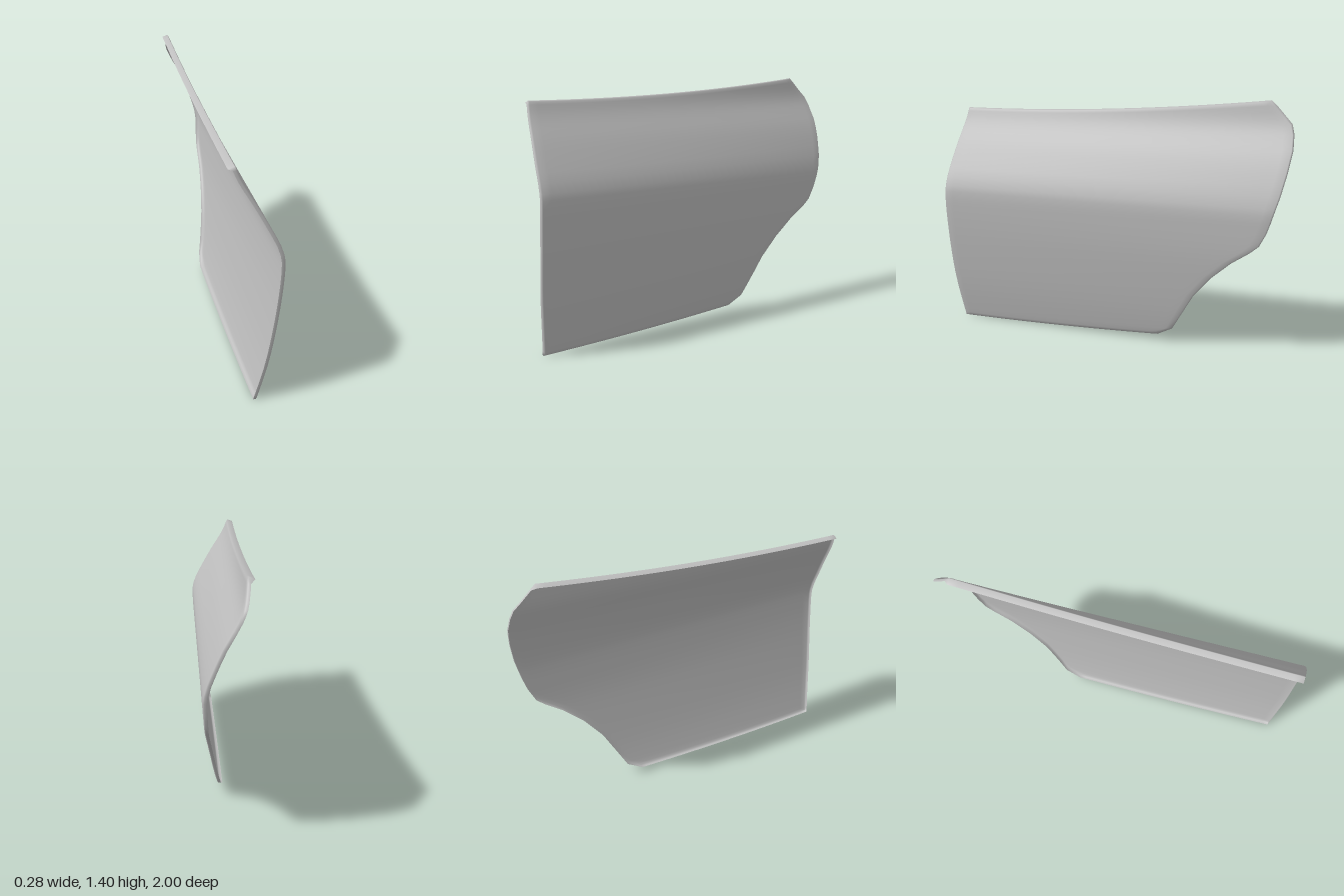
import * as THREE from 'three';

const panelGrey = new THREE.MeshStandardMaterial({ color: 0xc0c0c0, side: THREE.DoubleSide });
panelGrey.name = 'panelGrey';

// Smooth curve through [position, value] pairs
function curve(pairs) {
  const c = new THREE.CubicInterpolant(pairs.map(p => p[0]), pairs.map(p => p[1]), 1, [0]);
  return t => c.evaluate(t)[0];
}

// Straight segments through [position, value] pairs
function polyline(pairs) {
  const c = new THREE.LinearInterpolant(pairs.map(p => p[0]), pairs.map(p => p[1]), 1, [0]);
  return t => c.evaluate(t)[0];
}

const CREASE = 0.82;
// Sideways bulge of the skin by height, with a firm crease line
const bulge = curve([[0, 0.03], [0.2, 0.072], [0.4, 0.102], [0.6, 0.125], [0.76, 0.136], [0.82, 0.136],
  [0.88, 0.122], [1, 0.063], [1.1, 0.008], [1.2, -0.052], [1.25, -0.077], [1.3, -0.093], [1.4, -0.105]]);
// Sideways shift of the rear end against the front end
const taper = curve([[0, -0.04], [0.5, -0.04], [0.85, -0.04], [1, -0.017], [1.1, -0.002], [1.2, 0.005], [1.4, 0]]);
// Depth of the front and rear edges by height
const frontEdge = curve([[0.005, 0.96], [0.3, 0.99], [0.6, 1], [0.8, 1], [0.97, 0.99], [1.295, 0.945]]);
const rearEdge = polyline([[0.04, -0.29], [0.09, -0.38], [0.32, -0.51], [0.44, -0.61], [0.54, -0.72],
  [0.61, -0.82], [0.65, -0.865], [0.72, -0.9], [0.78, -0.92], [0.92, -0.96], [1.04, -0.985],
  [1.15, -1], [1.23, -0.995], [1.28, -0.98], [1.375, -0.89], [1.4, -0.865]]);
// Row heights at the rear edge
const rows = [0.04, 0.06, 0.09, 0.16, 0.24, 0.32, 0.38, 0.44, 0.49, 0.54, 0.575, 0.61, 0.65, 0.685, 0.72, 0.75, 0.78,
  0.82, 0.86, 0.92, 0.98, 1.04, 1.1, 1.15, 1.19, 1.23, 1.255, 1.28, 1.31, 1.345, 1.375, 1.4];
const COLS = 36;

function panelPoint(rowY, u) {
  const yFront = rowY < CREASE
    ? THREE.MathUtils.mapLinear(rowY, 0.04, CREASE, 0.004, CREASE)
    : THREE.MathUtils.mapLinear(rowY, CREASE, 1.4, CREASE, 1.295);
  const y = THREE.MathUtils.lerp(yFront, rowY, u * u);
  const z = THREE.MathUtils.lerp(frontEdge(yFront), rearEdge(rowY), u);
  return new THREE.Vector3(bulge(y) + taper(y) * u, y, z);
}

function panelGeometry() {
  const points = [], index = [], w = COLS + 1, top = rows.length - 1;
  const quad = (a, b, c, d) => index.push(a, b, c, a, c, d);

  // Curved skin
  rows.forEach((y, i) => {
    for (let j = 0; j <= COLS; j++) points.push(panelPoint(y, j / COLS));
    if (i < top) for (let j = 0; j < COLS; j++) {
      const a = i * w + j;
      quad(a, a + 1, a + w + 1, a + w);
    }
  });

  // Outline: bottom, rear, top, front
  const loop = [];
  for (let j = 0; j < COLS; j++) loop.push(j);
  for (let i = 0; i < top; i++) loop.push(i * w + COLS);
  for (let j = COLS; j > 0; j--) loop.push(top * w + j);
  for (let i = top; i > 0; i--) loop.push(i * w);

  // Rounded hem turned inwards, with a wider lip along the top
  const n = loop.length, base = points.length, edge = loop.map(k => points[k].clone());
  const rings = [[], []];
  edge.forEach((p, k) => {
    const before = p.clone().sub(edge[(k + n - 1) % n]).setX(0).normalize();
    const after = edge[(k + 1) % n].clone().sub(p).setX(0).normalize();
    const t = before.add(after).normalize();
    const inward = new THREE.Vector3(0, -t.z, t.y).multiplyScalar(0.007);
    const isTop = loop[k] >= top * w;
    points[loop[k]].add(inward);
    rings[0].push(p.clone().add(new THREE.Vector3(-0.007, 0, 0)));
    rings[1].push(p.clone().add(new THREE.Vector3(isTop ? -0.037 : -0.02, isTop ? -0.012 : 0, 0)));
  });
  points.push(...rings[0], ...rings[1]);
  for (let k = 0; k < n; k++) {
    const m = (k + 1) % n;
    quad(loop[m], loop[k], base + k, base + m);
    quad(base + m, base + k, base + n + k, base + n + m);
  }

  const geometry = new THREE.BufferGeometry().setFromPoints(points);
  geometry.setIndex(index);
  geometry.computeVertexNormals();
  return geometry;
}

export function createModel() {
  const model = new THREE.Group();
  model.name = 'doorPanel';
  const panel = new THREE.Mesh(panelGeometry(), panelGrey);
  panel.name = 'doorSkin';
  model.add(panel);
  return model;
}
